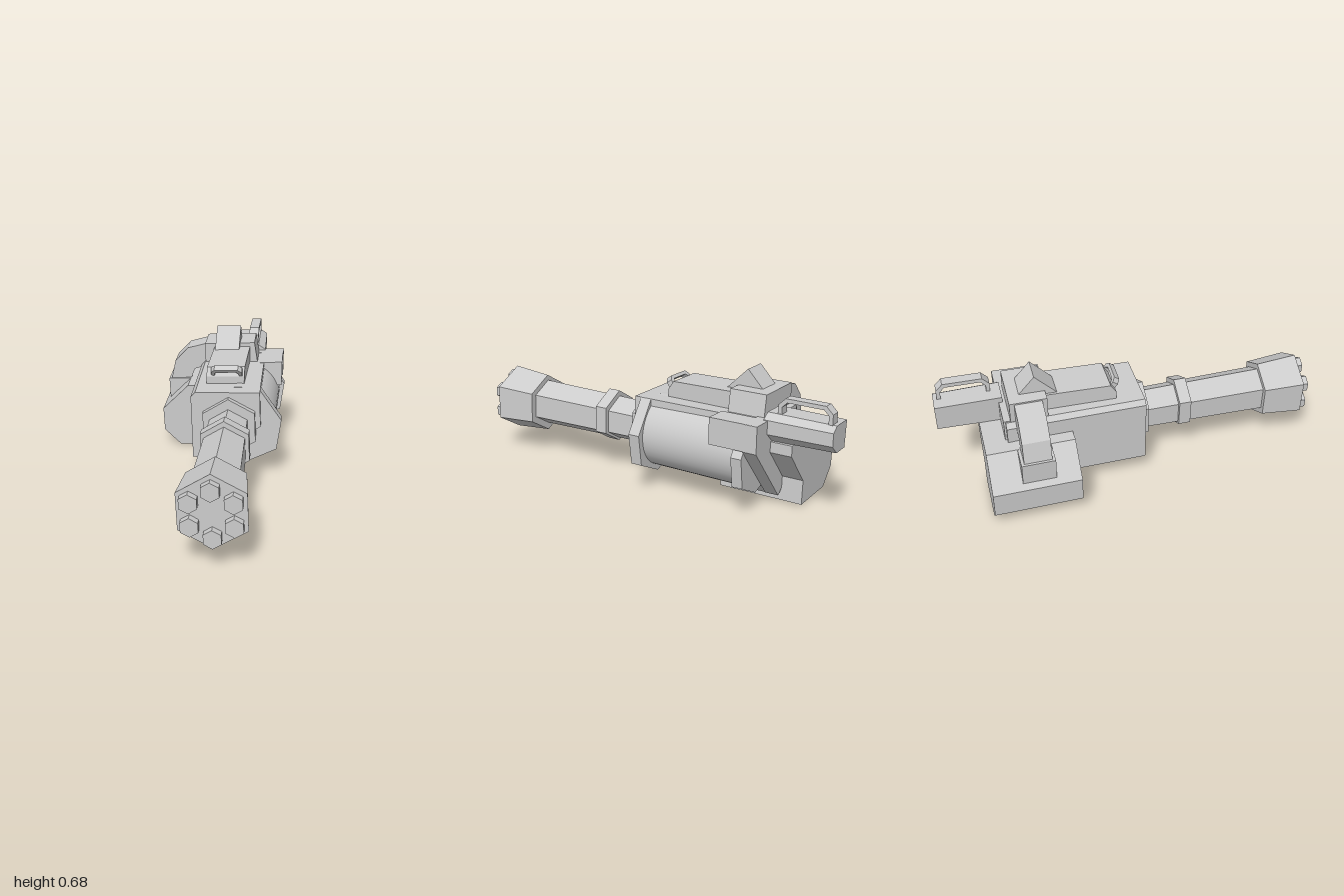
import * as THREE from 'three';

const mat = new THREE.MeshStandardMaterial({ color: 0xcccccc, flatShading: true });
const smoothMat = new THREE.MeshStandardMaterial({ color: 0xcccccc });
const YAW = 0.02, ROLL = 0.045;

const toShape = pts => new THREE.Shape(pts.map(p => new THREE.Vector2(p[0], p[1])));

// Extrude a front outline from z0 (rear) to z1 (front); the rear may be scaled about its middle
function frontPrism(name, pts, z0, z1, rearScale = 1) {
  const geo = new THREE.ExtrudeGeometry(toShape(pts), { depth: z1 - z0, bevelEnabled: false });
  const cx = pts.reduce((s, p) => s + p[0], 0) / pts.length;
  const cy = pts.reduce((s, p) => s + p[1], 0) / pts.length;
  const pos = geo.attributes.position;
  for (let i = 0; i < pos.count; i++) {
    const d = pos.getZ(i), k = d < 1e-6 ? rearScale : 1;
    const x = cx + (pos.getX(i) - cx) * k + YAW * (d - (z1 - z0));
    pos.setXYZ(i, x, cy + (pos.getY(i) - cy) * k, z0 + d);
  }
  geo.computeVertexNormals();
  const mesh = new THREE.Mesh(geo, mat);
  mesh.name = name;
  return mesh;
}

// Extrude a side outline given as [z, y] from x0 to x1, rolled like the rest of the body
function sidePrism(name, pts, x0, x1) {
  const geo = new THREE.ExtrudeGeometry(toShape(pts), { depth: x1 - x0, bevelEnabled: false });
  geo.rotateY(-Math.PI / 2).translate(x1, 0, 0);
  const pos = geo.attributes.position, mid = (x0 + x1) / 2;
  for (let i = 0; i < pos.count; i++) {
    pos.setY(i, pos.getY(i) + ROLL * (pos.getX(i) - mid));
  }
  geo.computeVertexNormals();
  const mesh = new THREE.Mesh(geo, mat);
  mesh.name = name;
  return mesh;
}

// Hexagon with a corner on top
function hexagon(cx, cy, r) {
  return Array.from({ length: 6 }, (_, i) => {
    const a = Math.PI / 2 + ROLL + i * Math.PI / 3;
    return [cx + r * Math.cos(a), cy + r * Math.sin(a)];
  });
}

// Chamfered U outline for carrying handles: centre u, base v, width w, height h
function handleOutline(u, v, w, h, t, c) {
  const a = w / 2, b = a - t, k = c * 0.7;
  return [
    [u - a, v], [u - b, v], [u - b, v + h - t - k], [u - b + k, v + h - t],
    [u + b - k, v + h - t], [u + b, v + h - t - k], [u + b, v], [u + a, v],
    [u + a, v + h - c], [u + a - c, v + h], [u - a + c, v + h], [u - a, v + h - c],
  ].reverse();
}

export function createModel() {
  const g = new THREE.Group();
  g.name = 'rotaryCannon';

  // Barrel cluster
  g.add(frontPrism('muzzle', hexagon(0.097, 0.283, 0.18), 0.745, 0.965, 0.89));
  g.add(frontPrism('barrelShroud', hexagon(0.09, 0.287, 0.126), 0.0, 0.76, 0.9));
  g.add(frontPrism('barrelBand', hexagon(0.082, 0.295, 0.14), 0.26, 0.325));
  g.add(frontPrism('barrelCollar', hexagon(0.078, 0.3, 0.157), 0.0, 0.085));
  for (let i = 0; i < 6; i++) {
    const a = Math.PI / 2 + ROLL + i * Math.PI / 3;
    g.add(frontPrism('barrelTip', hexagon(0.097 + 0.113 * Math.cos(a), 0.28 + 0.113 * Math.sin(a), 0.046), 0.95, 1));
  }

  // Main receiver
  g.add(frontPrism('receiver', [
    [-0.117, 0.107], [0, 0.11], [0.1, 0.2], [0.24, 0.3], [0.232, 0.488], [-0.105, 0.475], [-0.128, 0.45],
  ], -0.67, 0.05));

  // Motor drum with its two faceted flanges
  const drum = new THREE.Mesh(new THREE.CylinderGeometry(0.188, 0.188, 0.56, 40), smoothMat);
  drum.name = 'motorDrum';
  drum.rotation.x = Math.PI / 2;
  drum.position.set(0.123, 0.298, -0.31);
  g.add(drum);
  const flange = [
    [0, 0.17], [0.1, 0.105], [0.175, 0.083], [0.325, 0.16], [0.347, 0.325], [0.232, 0.488], [0.05, 0.47],
  ];
  g.add(frontPrism('frontFlange', flange, -0.045, 0.015));
  g.add(frontPrism('rearFlange', flange.map(([x, y]) => [0.14 + (x - 0.14) * 0.95, 0.29 + (y - 0.29) * 0.95]), -0.61, -0.555));

  // Rear frame with a slanted underside, and its side block
  g.add(frontPrism('rearFrame', [
    [0.06, 0.05], [0.325, 0.36], [0.325, 0.497], [-0.11, 0.478], [-0.12, 0.2],
  ], -0.68, -0.61));
  g.add(frontPrism('frameFoot', [[0.06, 0.05], [0.105, 0.105], [-0.04, 0.24], [-0.12, 0.2]], -0.68, -0.43));
  g.add(frontPrism('sideBlock', [[0.2, 0.36], [0.325, 0.36], [0.325, 0.497], [0.2, 0.49]], -0.65, -0.43));

  // Ammunition box
  g.add(frontPrism('ammoBox', [
    [-0.245, 0.003], [0.03, 0.012], [0.025, 0.14], [0.18, 0.32], [0.18, 0.375],
    [-0.2, 0.367], [-0.345, 0.22], [-0.338, 0.09],
  ], -0.79, -0.34));

  // Feed chute curving from the box into the receiver
  g.add(frontPrism('chuteSocket', [
    [-0.322, 0.245], [-0.13, 0.255], [-0.13, 0.37], [-0.328, 0.36],
  ], -0.635, -0.465));
  g.add(frontPrism('feedChute', [
    [-0.315, 0.36], [-0.2, 0.365], [-0.18, 0.42], [-0.1, 0.45], [-0.1, 0.58],
    [-0.22, 0.545], [-0.293, 0.465],
  ], -0.62, -0.48));

  // Top housing, cover and ridge
  g.add(frontPrism('feedHousing', [
    [-0.113, 0.47], [0.185, 0.48], [0.165, 0.598], [-0.116, 0.583],
  ], -0.645, -0.455));
  g.add(sidePrism('topCover', [
    [-0.5, 0.47], [-0.09, 0.47], [-0.09, 0.52], [-0.12, 0.564], [-0.5, 0.57],
  ], -0.062, 0.14));
  g.add(sidePrism('sightRidge', [[-0.605, 0.57], [-0.395, 0.57], [-0.505, 0.679]], -0.052, 0.083));

  // Front grab handle, leaning forward from the cover
  const grab = frontPrism('frontHandle', handleOutline(0, 0, 0.165, 0.06, 0.018, 0.02), -0.016, 0.016);
  grab.position.set(0.047, 0.525, -0.112);
  grab.rotation.set(0.65, 0, ROLL);
  g.add(grab);

  // Rear beam and carrying handle
  g.add(frontPrism('rearBeam', [
    [0.055, 0.37], [0.16, 0.375], [0.216, 0.425], [0.216, 0.495], [0.175, 0.522], [0.045, 0.515],
  ], -1, -0.66, 0.93));
  g.add(sidePrism('rearHandle', handleOutline(-0.845, 0.5, 0.27, 0.1, 0.02, 0.035), 0.115, 0.17));
  return g;
}
